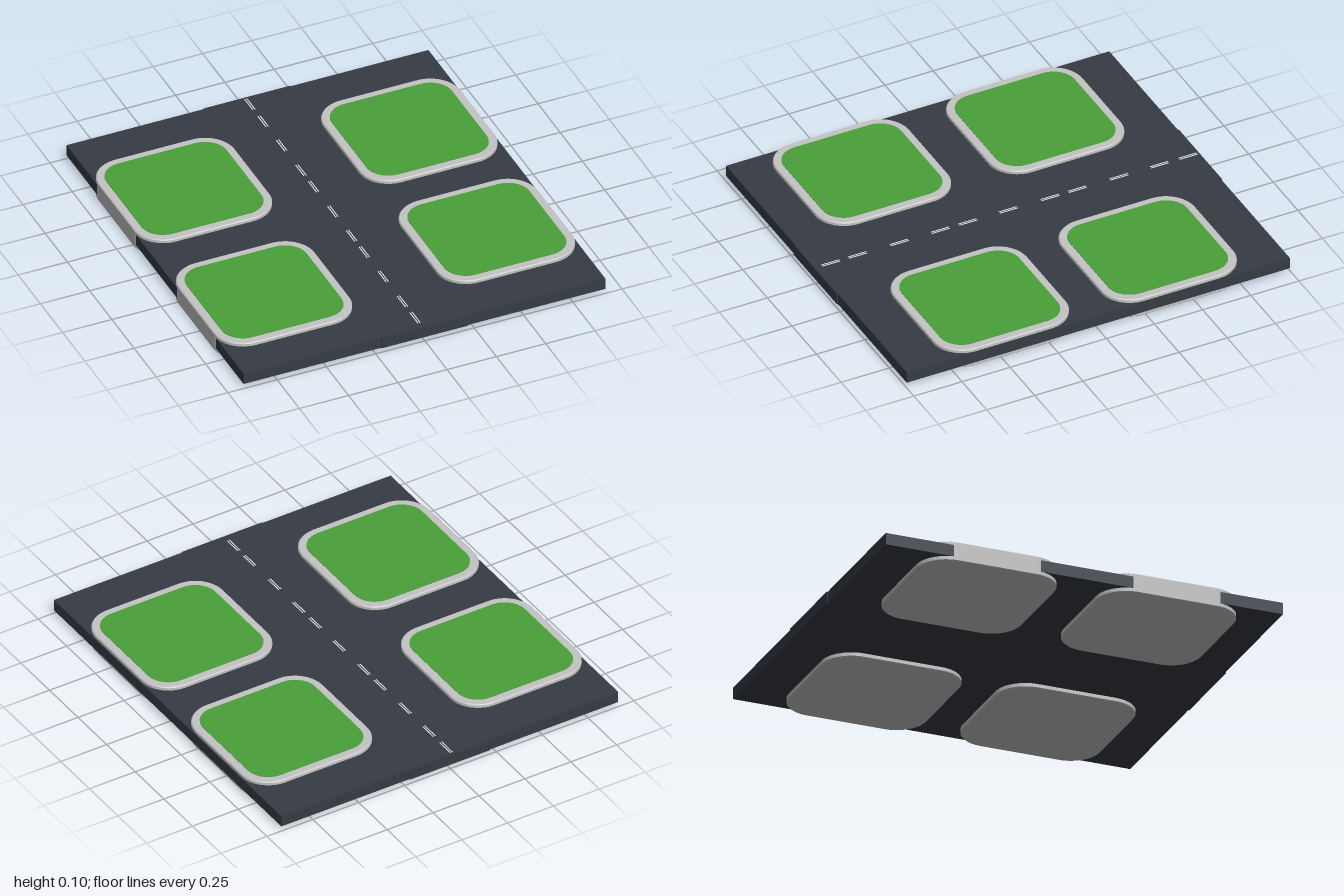
import * as THREE from 'three';

const mat = (name, color) => {
  const m = new THREE.MeshStandardMaterial({ color });
  m.name = name;
  return m;
};

// Square outline with rounded corners, centred on the origin
function roundedSquare(size, r) {
  const h = size / 2, s = new THREE.Shape();
  s.moveTo(-h + r, -h);
  s.lineTo(h - r, -h);
  s.absarc(h - r, -h + r, r, -Math.PI / 2, 0);
  s.lineTo(h, h - r);
  s.absarc(h - r, h - r, r, 0, Math.PI / 2);
  s.lineTo(-h + r, h);
  s.absarc(-h + r, h - r, r, Math.PI / 2, Math.PI);
  s.lineTo(-h, -h + r);
  s.absarc(-h + r, -h + r, r, Math.PI, Math.PI * 1.5);
  return s;
}

// Flat slab of a shape between two heights, with an optional small bevel
function slab(shape, y0, y1, bevel, curveSegments) {
  const g = new THREE.ExtrudeGeometry(shape, {
    depth: y1 - y0 - 2 * bevel, curveSegments,
    bevelEnabled: bevel > 0, bevelThickness: bevel, bevelSize: bevel,
    bevelOffset: -bevel, bevelSegments: 1,
  });
  g.rotateX(-Math.PI / 2);
  g.translate(0, y0 + bevel, 0);
  return g;
}

export function createModel() {
  const model = new THREE.Group();
  model.name = 'cityBlockTile';
  const asphalt = mat('asphalt', 0x363b43);
  const concrete = mat('concrete', 0xc4c4c4);
  const grass = mat('grass', 0x4aa03a);
  const paint = mat('roadPaint', 0xf4f4f4);

  const add = (name, geo, material, x, y, z, parent = model) => {
    const mesh = new THREE.Mesh(geo, material);
    mesh.name = name;
    mesh.position.set(x, y, z);
    parent.add(mesh);
  };

  // Ground slab: the centre road runs slightly past the two sides
  add('road', new THREE.BoxGeometry(0.44, 0.058, 2), asphalt, 0, 0.051, 0);
  for (const side of [-1, 1])
    add('sideGround', new THREE.BoxGeometry(0.698, 0.058, 1.99), asphalt, side * 0.569, 0.051, 0);

  // Four raised pavements passing through the slab, each topped with a lawn
  const curbGeo = slab(roundedSquare(0.69, 0.15), 0, 0.098, 0.005, 8);
  const lawnGeo = slab(roundedSquare(0.61, 0.11), 0.095, 0.1, 0, 5);
  for (const [x, z] of [[-0.575, -0.435], [0.568, -0.435], [-0.575, 0.465], [0.568, 0.437]]) {
    const block = new THREE.Group();
    block.name = 'block';
    block.position.set(x, 0, z);
    model.add(block);
    add('pavement', curbGeo, concrete, 0, 0, 0, block);
    add('lawn', lawnGeo, grass, 0, 0, 0, block);
  }

  // Dashed double centre line
  const dashGeo = new THREE.BoxGeometry(0.005, 0.002, 0.094);
  for (const z of [-0.942, -0.793, -0.583, -0.367, -0.225, -0.008, 0.202, 0.345, 0.558, 0.775, 0.915])
    for (const x of [-0.018, -0.007])
      add('laneDash', dashGeo, paint, x, 0.0805, z);

  return model;
}
